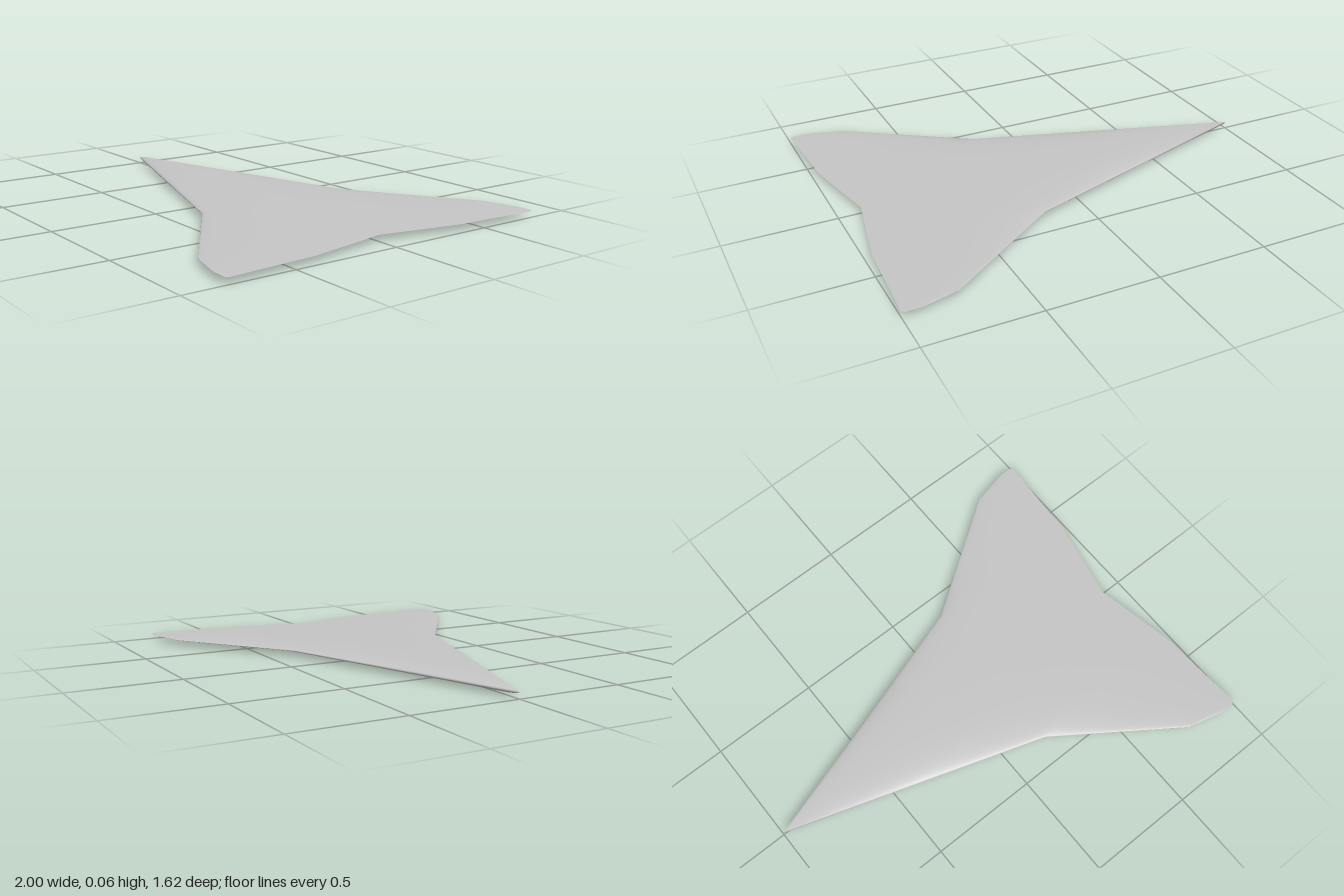
import * as THREE from 'three';

// Half-span stations: [span z, leading edge x, trailing edge x]
const STATIONS = [
  [0, -1, 0.897],
  [0.2, -0.382, 0.938],
  [0.388, 0.2, 0.975],
  [0.58, 0.48, 0.986],
  [0.767, 0.75, 0.998],
  [0.79, 0.84, 0.999],
  [0.804, 0.895, 0.995],
  [0.81, 0.925, 0.986],
];
const THICKNESS = 0.029; // share of the chord
const MID_Y = 0.0285;
const STEPS = 24; // points along each side of the airfoil

// Half thickness of a symmetric airfoil with a sharp trailing edge
function halfThickness(u) {
  return 5 * THICKNESS *
    (0.2969 * Math.sqrt(u) - 0.126 * u - 0.3516 * u ** 2 + 0.2843 * u ** 3 - 0.1036 * u ** 4);
}

// Section from the trailing edge over the top, round the nose and back below
function section([z, lead, trail]) {
  const points = [];
  for (let j = 0; j <= 2 * STEPS; j++) {
    const u = (1 + Math.cos((Math.PI * j) / STEPS)) / 2;
    const chord = trail - lead;
    const side = j <= STEPS ? 1 : -1;
    const edge = j === 0 || j === 2 * STEPS;
    const y = edge ? 0 : side * halfThickness(u) * chord;
    points.push([lead + u * chord, MID_Y + y, z]);
  }
  return points;
}

function surface(rows, index) {
  const geometry = new THREE.BufferGeometry();
  geometry.setAttribute('position', new THREE.Float32BufferAttribute(rows.flat(2), 3));
  geometry.setIndex(index);
  geometry.computeVertexNormals();
  return geometry;
}

export function createModel() {
  const group = new THREE.Group();
  group.name = 'doubleDeltaWing';
  const grey = new THREE.MeshStandardMaterial({ color: 0xc4c4c4 });
  grey.name = 'light grey';

  const add = (geometry, name) => {
    const mesh = new THREE.Mesh(geometry, grey);
    mesh.name = name;
    group.add(mesh);
  };

  // Wing skin lofted from tip to tip
  const mirrored = STATIONS.slice(1).reverse().map(([z, a, b]) => [-z, a, b]);
  const rows = [...mirrored, ...STATIONS].map(section);
  const n = 2 * STEPS + 1;
  const skin = [];
  for (let i = 0; i < rows.length - 1; i++) {
    for (let j = 0; j < n - 1; j++) {
      const a = i * n + j;
      const b = a + n;
      skin.push(a, a + 1, b, b, a + 1, b + 1);
    }
  }
  add(surface(rows, skin), 'wingSkin');

  // Thin end caps close the wing tips
  const cap = (row, flip) => {
    const index = [];
    for (let j = 1; j < n - 1; j++) {
      index.push(0, flip ? j + 1 : j, flip ? j : j + 1);
    }
    return surface([row], index);
  };
  add(cap(rows[rows.length - 1], false), 'frontWingTip');
  add(cap(rows[0], true), 'rearWingTip');

  return group;
}
